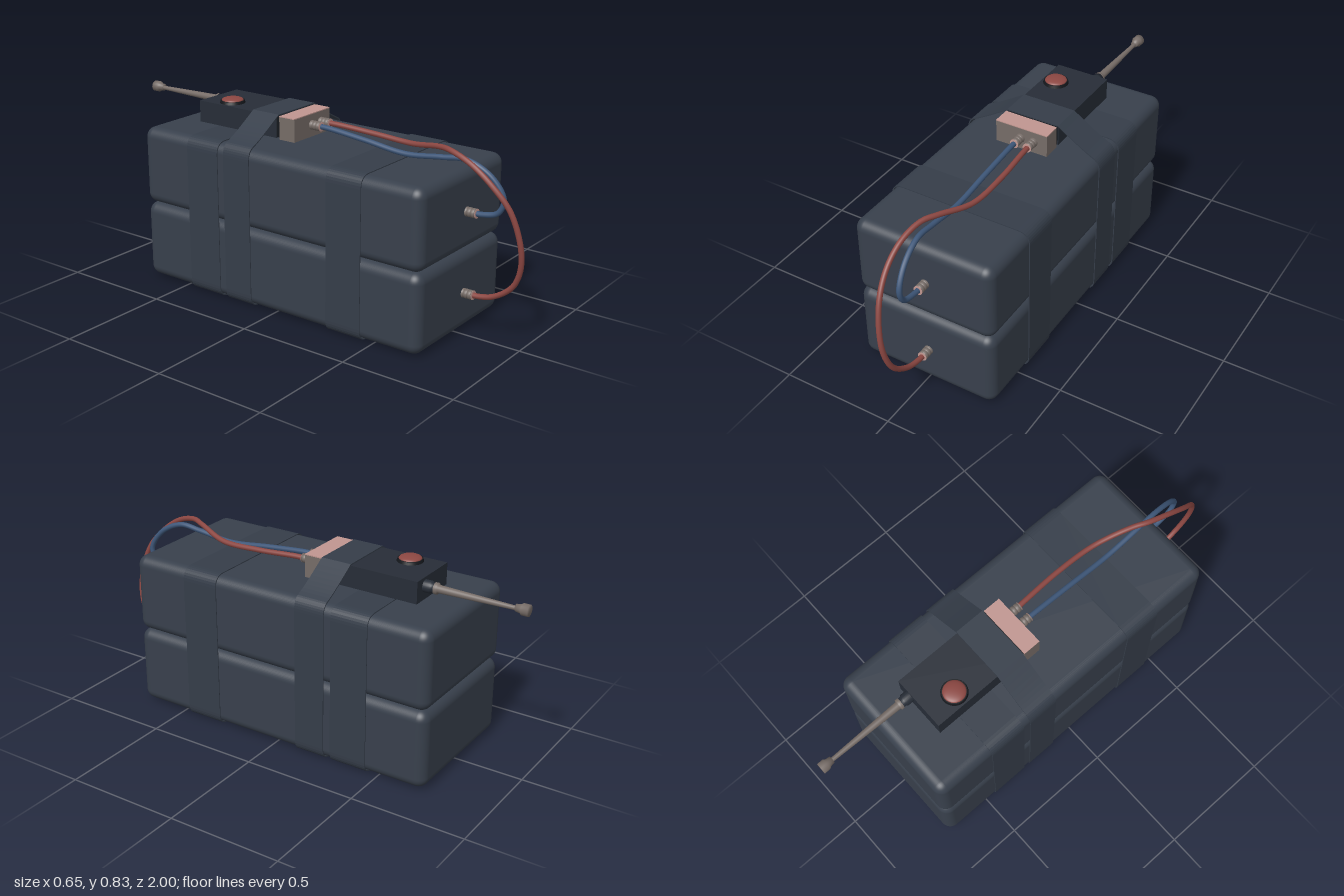
import * as THREE from 'three';
import { RoundedBoxGeometry } from 'three/addons/geometries/RoundedBoxGeometry.js';

const mat = (name, color, extra = {}) => {
  const m = new THREE.MeshStandardMaterial({ color, ...extra });
  m.name = name;
  return m;
};

export function createModel() {
  const root = new THREE.Group();
  root.name = 'strappedPackage';
  const body = mat('slate wrap', 0x38404c);
  const band = mat('slate strap', 0x353d49);
  const dark = mat('dark casing', 0x272d37);
  const metal = mat('grey metal', 0x766c67);
  const copper = mat('pale copper', 0xc09690);
  const red = mat('red', 0x8c4742);
  const blue = mat('blue', 0x3d5678);
  const black = mat('black trim', 0x14171c);

  const add = (name, geometry, material, x = 0, y = 0, z = 0, parent = root) => {
    const mesh = new THREE.Mesh(geometry, material);
    mesh.name = name;
    mesh.position.set(x, y, z);
    parent.add(mesh);
    return mesh;
  };

  // Two stacked, soft-edged blocks
  ['lowerBlock', 'upperBlock'].forEach((name, i) =>
    add(name, new RoundedBoxGeometry(0.636, 0.345, 1.445, 6, 0.045), body, 0, 0.181 + i * 0.346, 0.003));

  // Closed strap loop; an optional crown carries it over the casing
  const strapPath = (path, h, bottom, top, r, crown) => {
    path.moveTo(-h + r, bottom);
    path.lineTo(h - r, bottom);
    path.quadraticCurveTo(h, bottom, h, bottom + r);
    path.lineTo(h, top - r);
    if (crown) {
      path.quadraticCurveTo(h, top - 0.005, h - 0.035, top + 0.008);
      path.quadraticCurveTo(0.24, top + 0.03, 0.123, crown);
      path.lineTo(-0.123, crown);
      path.quadraticCurveTo(-0.24, top + 0.03, -h + 0.035, top + 0.008);
      path.quadraticCurveTo(-h, top - 0.005, -h, top - r);
    } else {
      path.quadraticCurveTo(h, top, h - r, top);
      path.lineTo(-h + r, top);
      path.quadraticCurveTo(-h, top, -h, top - r);
    }
    path.lineTo(-h, bottom + r);
    path.quadraticCurveTo(-h, bottom, -h + r, bottom);
    return path;
  };
  const strap = (name, zBack, width, crown) => {
    const shape = strapPath(new THREE.Shape(), 0.324, 0.002, 0.705, 0.055, crown);
    shape.holes.push(strapPath(new THREE.Path(), 0.32, 0.006, 0.701, 0.053, crown && crown - 0.005));
    add(name, new THREE.ExtrudeGeometry(shape, { depth: width, bevelEnabled: false, curveSegments: 8 }),
      band, 0, 0, zBack);
  };
  strap('frontStrap', 0.284, 0.168);
  strap('rearStrap', -0.452, 0.168);
  strap('middleStrap', -0.25, 0.138, 0.812);

  // Control casing with its round button
  add('casing', new THREE.BoxGeometry(0.245, 0.095, 0.43), dark, -0.003, 0.757, -0.338);
  add('casingTrim', new THREE.BoxGeometry(0.235, 0.09, 0.022), black, -0.003, 0.758, -0.114);
  add('buttonRim', new THREE.CylinderGeometry(0.052, 0.056, 0.012, 32), black, -0.062, 0.81, -0.418);
  const dome = new THREE.SphereGeometry(0.048, 32, 8, 0, Math.PI * 2, 0, Math.PI / 2);
  dome.scale(1, 0.27, 1);
  add('button', dome, red, -0.062, 0.816, -0.418);

  // Terminal block in front of the casing
  add('terminalBlock', new THREE.BoxGeometry(0.245, 0.098, 0.08), metal, -0.003, 0.754, -0.067);
  add('terminalCover', new THREE.BoxGeometry(0.245, 0.004, 0.08), copper, -0.003, 0.805, -0.067);

  // Turned parts lying along z; profile points are [radius, distance]
  const turned = (name, pts, material, x, y, z, dir = 1) => {
    const g = new THREE.LatheGeometry(pts.map(p => new THREE.Vector2(...p)), 24);
    g.rotateX(dir * Math.PI / 2);
    return add(name, g.toNonIndexed(), material, x, y, z);
  };
  // Ribbed cable sockets with a copper front ring
  const socket = (name, x, y, z) => {
    const pts = [[0.02, 0]];
    for (let i = 0; i < 3; i++) {
      const d = i * 0.017;
      pts.push([0.02, d + 0.011], [0.016, d + 0.012], [0.016, d + 0.016], [0.02, d + 0.017]);
    }
    turned(name, pts, metal, x, y, z);
    turned(name + 'Ring', [[0.02, 0.051], [0.02, 0.053], [0, 0.053]], copper, x, y, z);
  };
  socket('lowerSocket', 0.017, 0.176, 0.72);
  socket('upperSocket', 0.017, 0.525, 0.72);
  socket('redTerminal', 0.055, 0.758, -0.027);
  socket('blueTerminal', -0.007, 0.757, -0.027);

  // Looping cables
  const cable = (name, pts, material) => {
    const curve = new THREE.CatmullRomCurve3(pts.map(p => new THREE.Vector3(...p)));
    add(name, new THREE.TubeGeometry(curve, 96, 0.0115, 12), material);
  };
  cable('redCable', [
    [0.055, 0.758, 0], [0.058, 0.758, 0.06], [0.067, 0.748, 0.25], [0.057, 0.743, 0.44],
    [0.005, 0.772, 0.6], [-0.025, 0.775, 0.67], [-0.045, 0.745, 0.77], [-0.048, 0.675, 0.87],
    [-0.032, 0.574, 0.95], [-0.006, 0.39, 0.99], [0.01, 0.268, 0.955], [0.016, 0.198, 0.87],
    [0.017, 0.178, 0.8], [0.017, 0.176, 0.74],
  ], red);
  cable('blueCable', [
    [-0.007, 0.757, 0], [-0.007, 0.756, 0.06], [-0.007, 0.738, 0.25], [-0.007, 0.717, 0.45],
    [-0.006, 0.735, 0.62], [-0.003, 0.743, 0.73], [0.008, 0.69, 0.835], [0.018, 0.605, 0.888],
    [0.018, 0.547, 0.865], [0.017, 0.527, 0.8], [0.017, 0.525, 0.74],
  ], blue);

  // Rear antenna: collar, tapering rod and flared tip
  turned('antennaCollar', [[0.026, 0], [0.026, 0.03], [0.021, 0.034], [0.021, 0.048], [0, 0.048]],
    dark, 0.055, 0.767, -0.552, -1);
  turned('antennaRod', [[0.024, 0], [0.024, 0.012], [0.017, 0.016], [0.009, 0.35]],
    metal, 0.055, 0.767, -0.598, -1);
  turned('antennaTip', [[0, 0], [0.015, 0], [0.018, 0.02], [0.024, 0.028], [0.024, 0.056], [0, 0.056]],
    metal, 0.055, 0.769, -0.943, -1);

  return root;
}
